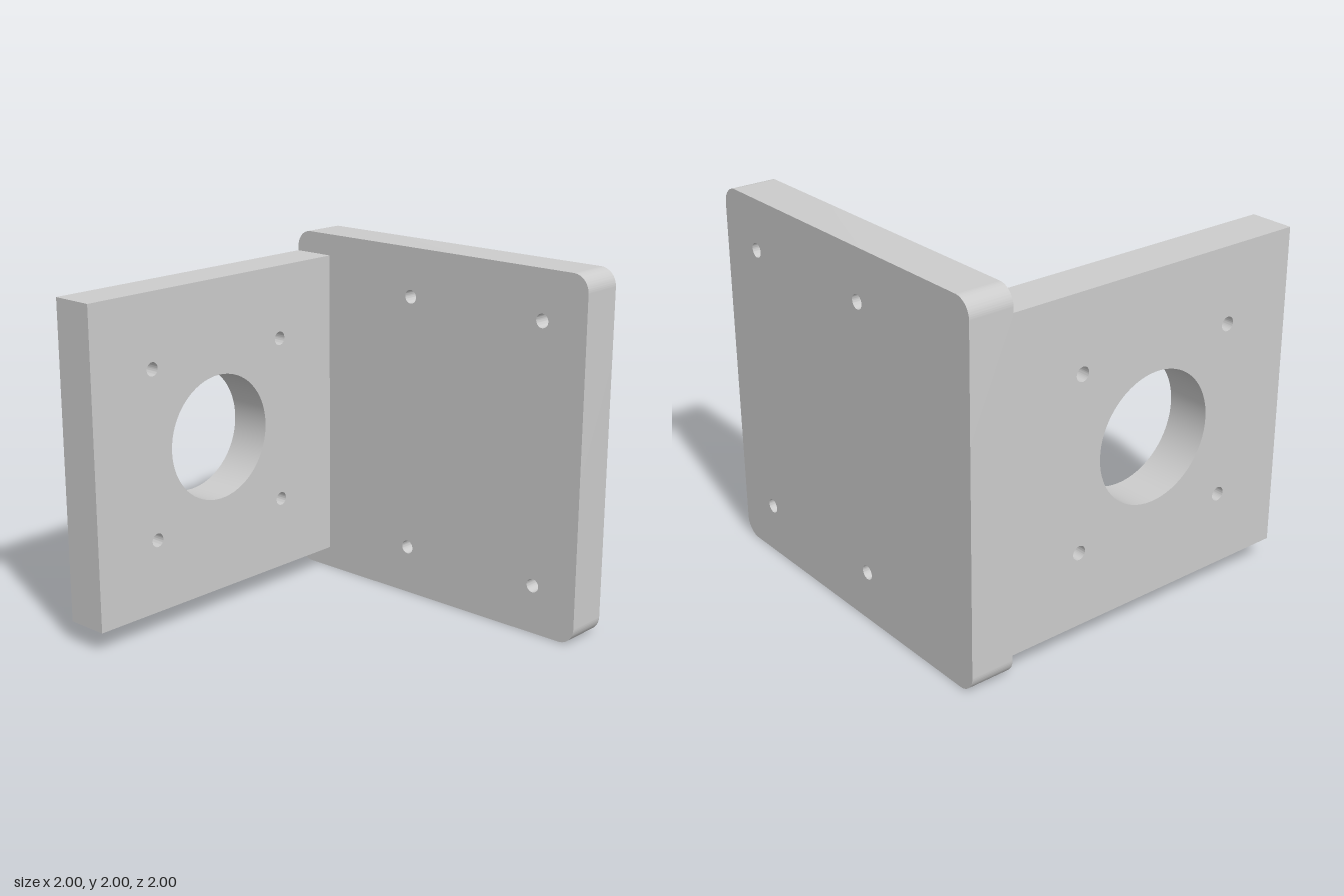
import * as THREE from 'three';
import { toCreasedNormals } from 'three/addons/utils/BufferGeometryUtils.js';

const THICK = 0.243;
const material = new THREE.MeshStandardMaterial({ color: 0xcccccc });

// Rectangle outline with optional rounded corners
function plateShape(x0, y0, x1, y1, r = 0) {
  const s = new THREE.Shape();
  if (r === 0) {
    s.moveTo(x0, y0).lineTo(x1, y0).lineTo(x1, y1).lineTo(x0, y1).closePath();
    return s;
  }
  s.moveTo(x0 + r, y0);
  s.absarc(x1 - r, y0 + r, r, -Math.PI / 2, 0, false);
  s.absarc(x1 - r, y1 - r, r, 0, Math.PI / 2, false);
  s.absarc(x0 + r, y1 - r, r, Math.PI / 2, Math.PI, false);
  s.absarc(x0 + r, y0 + r, r, Math.PI, Math.PI * 1.5, false);
  return s;
}

function addHole(shape, x, y, r) {
  shape.holes.push(new THREE.Path().absarc(x, y, r, 0, Math.PI * 2, true));
}

// Four screw holes on a rectangular pattern
function addScrewHoles(shape, xs, ys) {
  for (const x of xs) for (const y of ys) addHole(shape, x, y, 0.038);
}

function plate(name, shape) {
  const geo = new THREE.ExtrudeGeometry(shape, { depth: THICK, bevelEnabled: false, curveSegments: 32 });
  const mesh = new THREE.Mesh(toCreasedNormals(geo, 0.6), material);
  mesh.name = name;
  return mesh;
}

export function createModel() {
  const group = new THREE.Group();
  group.name = 'motorBracket';

  // Upright back plate with rounded corners
  const back = plateShape(-1, 0, 1, 2, 0.095);
  addScrewHoles(back, [-0.155, 0.725], [0.273, 1.727]);
  const backPlate = plate('backPlate', back);
  backPlate.position.z = -1;

  // Side plate with the large bore; shape x runs along +z
  const side = plateShape(-1 + THICK, 0.121, 1, 1.879);
  addHole(side, 0.123, 1, 0.351);
  addScrewHoles(side, [-0.347, 0.593], [0.53, 1.47]);
  const sidePlate = plate('sidePlate', side);
  sidePlate.rotation.y = -Math.PI / 2;
  sidePlate.position.x = -1 + THICK;

  group.add(backPlate, sidePlate);
  return group;
}
